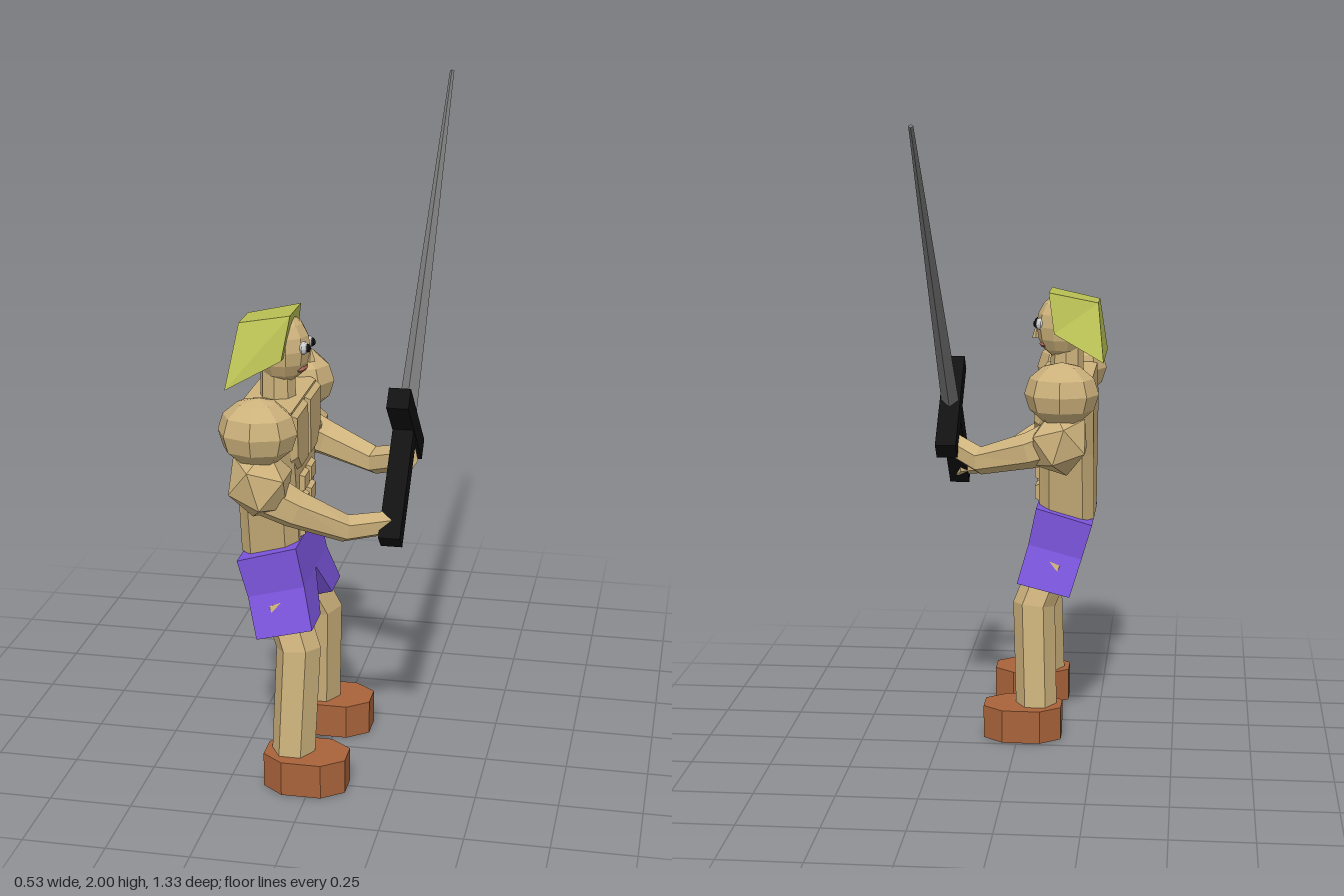
import * as THREE from 'three';

const mat = (color) => new THREE.MeshStandardMaterial({ color, flatShading: true });
const SKIN = mat(0xcdb27c), HAIR = mat(0xb9c054), SHORTS = mat(0x7b55dc), BOOT = mat(0xa8633a);
const BLACK = mat(0x111111), STEEL = mat(0x7c7c7c), WHITE = mat(0xdddddd), LIP = mat(0xa8655a);

// Skin over a list of equal-length rings, with end caps; faces are turned outward.
function loft(rings) {
  const tris = [];
  const n = rings[0].length;
  for (let r = 0; r < rings.length - 1; r++) {
    for (let i = 0; i < n; i++) {
      const j = (i + 1) % n, a = rings[r], b = rings[r + 1];
      tris.push([a[i], a[j], b[j]], [a[i], b[j], b[i]]);
    }
  }
  const end = rings[rings.length - 1];
  for (let i = 1; i < n - 1; i++) {
    tris.push([rings[0][0], rings[0][i + 1], rings[0][i]], [end[0], end[i], end[i + 1]]);
  }
  let volume = 0;
  for (const [a, b, c] of tris) volume += a.dot(b.clone().cross(c));
  if (volume < 0) tris.forEach((t) => t.reverse());
  const geo = new THREE.BufferGeometry().setFromPoints(tris.flat());
  geo.computeVertexNormals();
  return geo;
}

const V = (x, y, z) => new THREE.Vector3(x, y, z);

// Six-sided limb through points [x, y, z, radius].
function limb(path, up) {
  const pts = path.map((p) => V(p[0], p[1], p[2]));
  return loft(pts.map((p, k) => {
    const t = pts[Math.min(k + 1, pts.length - 1)].clone().sub(pts[Math.max(k - 1, 0)]).normalize();
    const u = t.clone().cross(up).normalize();
    const w = t.clone().cross(u);
    return Array.from({ length: 6 }, (_, i) => {
      const a = (i * Math.PI) / 3 + Math.PI / 6;
      return p.clone().addScaledVector(u, path[k][3] * Math.cos(a)).addScaledVector(w, path[k][3] * Math.sin(a));
    });
  }));
}

// Horizontal octagon: a box outline with cut corners.
function octagon(y, x0, x1, z, half, cx, cz) {
  return [
    V(x1, y, z - half + cz), V(x1, y, z + half - cz), V(x1 - cx, y, z + half), V(x0 + cx, y, z + half),
    V(x0, y, z + half - cz), V(x0, y, z - half + cz), V(x0 + cx, y, z - half), V(x1 - cx, y, z - half),
  ];
}

function add(parent, name, geo, material, pos = [0, 0, 0], scale = [1, 1, 1]) {
  const mesh = new THREE.Mesh(geo, material);
  mesh.name = name;
  mesh.position.set(...pos);
  mesh.scale.set(...scale);
  parent.add(mesh);
  return mesh;
}

function addHead(body) {
  add(body, 'neck', new THREE.CylinderGeometry(0.052, 0.055, 0.13, 8), SKIN, [-0.14, 1.205, 0]);
  add(body, 'head', new THREE.SphereGeometry(1, 10, 8), SKIN, [-0.125, 1.317, 0], [0.085, 0.106, 0.082]);
  add(body, 'nose', new THREE.ConeGeometry(0.014, 0.045, 4), SKIN, [-0.04, 1.3, 0]);
  add(body, 'mouth', new THREE.SphereGeometry(1, 8, 4), LIP, [-0.068, 1.258, 0], [0.018, 0.011, 0.045]);
  for (const s of [-1, 1]) {
    add(body, 'eye', new THREE.SphereGeometry(0.02, 8, 6), WHITE, [-0.057, 1.327, s * 0.034]);
    add(body, 'pupil', new THREE.SphereGeometry(0.014, 8, 6), BLACK, [-0.046, 1.327, s * 0.034]);
  }
  // Flared hair, wider and lower at the back
  const ring = (xb, yb, hb, xf, yf, hf) => [V(xb, yb, -hb), V(xb, yb, hb), V(xf, yf, hf), V(xf, yf, -hf)];
  add(body, 'hair', loft([
    ring(-0.265, 1.22, 0.152, -0.105, 1.305, 0.11),
    ring(-0.243, 1.4, 0.058, -0.085, 1.433, 0.075),
  ]), HAIR);
}

function addTorso(body) {
  add(body, 'torso', loft([
    octagon(0.7, -0.235, -0.058, 0, 0.125, 0.035, 0.035),
    octagon(0.92, -0.235, -0.058, 0, 0.168, 0.035, 0.04),
    octagon(1.06, -0.235, -0.058, 0, 0.205, 0.035, 0.04),
    octagon(1.17, -0.23, -0.062, 0, 0.21, 0.035, 0.04),
  ]), SKIN);
  for (const s of [-1, 1]) {
    // Chest plate with bevelled rim
    const plate = (x, e) => [
      V(x, 1.165 - e, s * (0.005 + e)), V(x, 1.165 - e, s * (0.18 - e)),
      V(x, 1.02 + e, s * (0.17 - e)), V(x, 0.975 + e, s * (0.12 - e)), V(x, 0.975 + e, s * (0.005 + e)),
    ];
    add(body, 'chestMuscle', loft([plate(-0.065, 0), plate(-0.045, 0.012)]), SKIN);
    for (let row = 0; row < 3; row++) {
      const block = (x, e) => {
        const y = 0.922 - row * 0.07, z = s * 0.046, h = 0.031 - e, w = 0.041 - e;
        return [V(x, y - h, z - w), V(x, y + h, z - w), V(x, y + h, z + w), V(x, y - h, z + w)];
      };
      add(body, 'abdominal', loft([block(-0.065, 0), block(-0.043, 0.01)]), SKIN);
    }
  }
}

function addLowerBody(body, s) {
  // Leg of the shorts: [inner z, outer z, front x, front y, back x, back y]
  const rings = [
    [0, 0.167, -0.053, 0.748, -0.233, 0.695],
    [0, 0.167, -0.028, 0.628, -0.2, 0.582],
    [0.088, 0.215, 0.005, 0.51, -0.164, 0.467],
  ].map(([zi, zo, xf, yf, xb, yb]) => [V(xf, yf, s * zi), V(xf, yf, s * zo), V(xb, yb, s * zo), V(xb, yb, s * zi)]);
  add(body, 'shortsLeg', loft(rings), SHORTS);
  add(body, 'leg', limb([
    [-0.058, 0.08, s * 0.198, 0.066], [-0.047, 0.43, s * 0.163, 0.068], [-0.1, 0.56, s * 0.125, 0.066],
  ], V(1, 0, 0)), SKIN);
  const z = s * 0.202;
  add(body, 'boot', loft([
    octagon(0, -0.14, 0.11, z, 0.091, 0.065, 0.05),
    octagon(0.107, -0.14, 0.11, z, 0.091, 0.065, 0.05),
  ]), BOOT);
}

function addArm(body, s, path) {
  add(body, 'shoulder', new THREE.SphereGeometry(1, 8, 6), SKIN, [-0.14, 1.14, s * 0.265], [0.117, 0.1, 0.1]);
  const bicep = add(body, 'upperArm', new THREE.IcosahedronGeometry(1, 0), SKIN, [-0.135, 0.985, s * 0.262], [0.1, 0.112, 0.108]);
  bicep.rotation.z = 0.3;
  add(body, 'forearm', limb(path, V(0, 1, 0)), SKIN);
}

function addSword(root) {
  const sword = new THREE.Group();
  sword.name = 'sword';
  sword.position.set(0.228, 1.066, 0.2);
  sword.rotation.x = -0.746;
  add(sword, 'grip', new THREE.BoxGeometry(0.064, 0.39, 0.064), BLACK, [0, -0.187, 0]);
  add(sword, 'guard', new THREE.BoxGeometry(0.066, 0.066, 0.36), BLACK);
  add(sword, 'blade', new THREE.CylinderGeometry(0.007, 0.029, 1.268, 4), STEEL, [0, 0.634, 0]);
  root.add(sword);
}

export function createModel() {
  const root = new THREE.Group();
  root.name = 'swordsman';
  const body = new THREE.Group();
  body.name = 'body';
  body.position.z = 0.303;
  root.add(body);

  addHead(body);
  addTorso(body);
  for (const s of [-1, 1]) addLowerBody(body, s);
  // Low hand holds the end of the grip, high hand holds below the guard
  addArm(body, 1, [
    [-0.13, 0.95, 0.25, 0.07], [-0.04, 0.9, 0.235, 0.058], [0.1, 0.832, 0.185, 0.042], [0.235, 0.83, 0.1, 0.036],
  ]);
  addArm(body, -1, [
    [-0.13, 0.99, -0.25, 0.07], [-0.04, 0.955, -0.25, 0.058], [0.12, 0.91, -0.205, 0.045], [0.235, 0.955, -0.125, 0.04],
  ]);
  addSword(root);
  return root;
}
